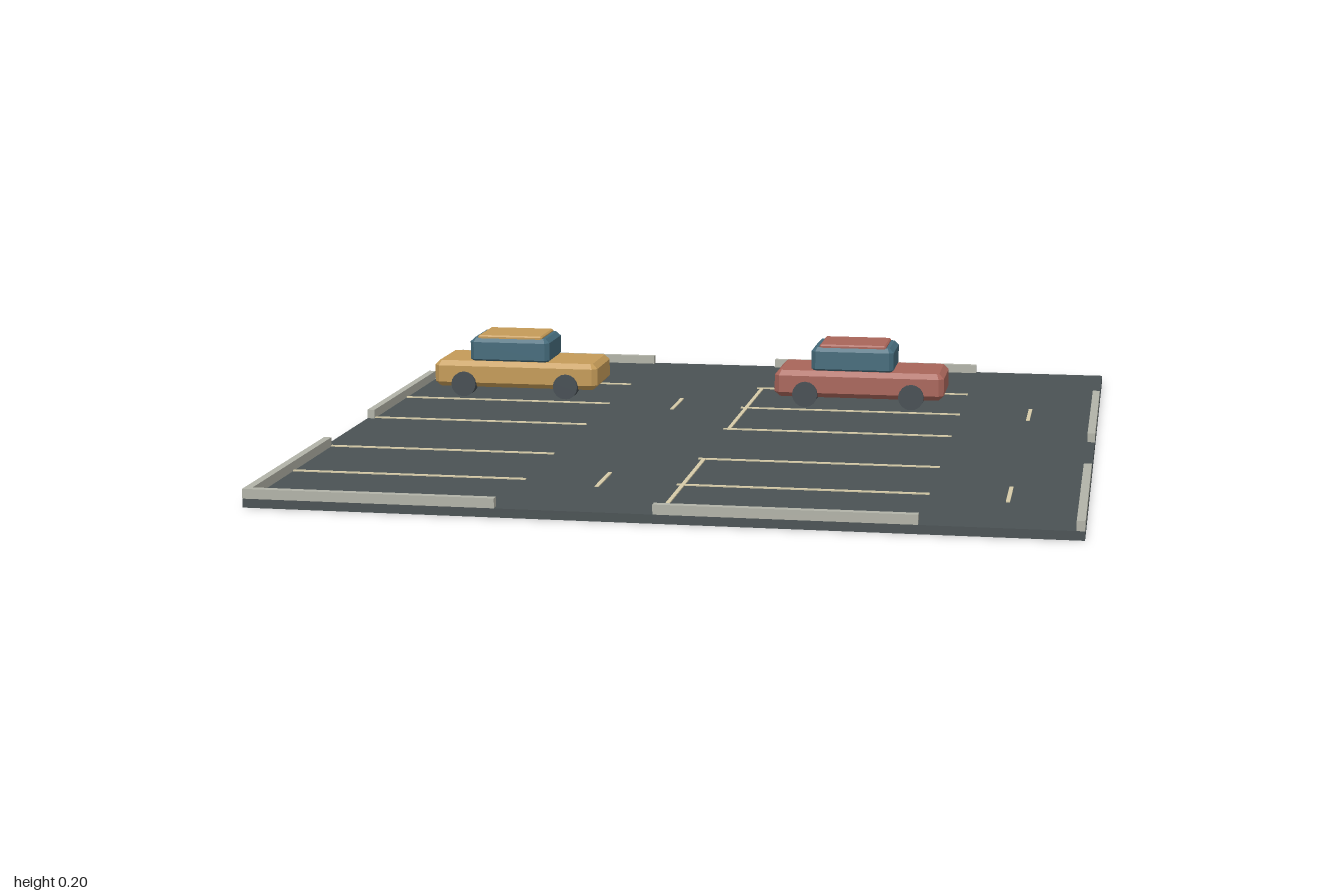
import * as THREE from 'three';

const mat = (name, color) => {
  const m = new THREE.MeshStandardMaterial({ color });
  m.name = name;
  return m;
};

export function createModel() {
  const asphalt = mat('asphalt', 0x4a5254);
  const concrete = mat('concrete', 0xb2b3a8);
  const paint = mat('line paint', 0xd6cba8);
  const yellow = mat('yellow paint', 0xc49b58);
  const red = mat('red paint', 0xa9655a);
  const glass = mat('glass', 0x456b7b);
  const rubber = mat('rubber', 0x454d52);

  const lot = new THREE.Group();
  lot.name = 'parkingLot';
  const TOP = 0.022;

  const add = (parent, name, geometry, material, x, y, z) => {
    const mesh = new THREE.Mesh(geometry, material);
    mesh.name = name;
    mesh.position.set(x, y, z);
    parent.add(mesh);
    return mesh;
  };

  // Box given by its x, y and z ranges
  const slab = (name, material, [x0, x1], [y0, y1], [z0, z1]) =>
    add(lot, name, new THREE.BoxGeometry(x1 - x0, y1 - y0, z1 - z0), material,
      (x0 + x1) / 2, (y0 + y1) / 2, (z0 + z1) / 2);

  // Box with every edge chamfered by b, standing on y = 0
  const chamferBox = (w, h, d, b) => {
    const x = w / 2, z = d / 2;
    const outline = new THREE.Shape([
      [-x + b, -z], [x - b, -z], [x, -z + b], [x, z - b],
      [x - b, z], [-x + b, z], [-x, z - b], [-x, -z + b],
    ].map(([px, pz]) => new THREE.Vector2(px, pz)));
    return new THREE.ExtrudeGeometry(outline, {
      depth: h - 2 * b, bevelThickness: b, bevelSize: b, bevelOffset: -b, bevelSegments: 1,
    }).translate(0, 0, b).rotateX(-Math.PI / 2);
  };

  // Four paved tiles
  for (const x of [-1, 0])
    for (const z of [-1, 0]) slab('pavingTile', asphalt, [x, x + 1], [0, TOP], [z, z + 1]);

  // Kerbs along the outer edges
  const kerbY = [TOP, 0.046];
  for (const x of [-1, 0]) {
    slab('backKerb', concrete, [x, x + 0.62], kerbY, [-1, -0.982]);
    slab('frontKerb', concrete, [x + (x < 0 ? 0.02 : 0), x + 0.62], kerbY, [0.98, 1]);
  }
  for (const z of [[-0.62, 0], [0.38, 1]]) {
    slab('rightKerb', concrete, [-1, -0.98], kerbY, z);
    slab('leftKerb', concrete, [0.98, 1], kerbY, z);
  }

  // Painted bay lines and lane dashes
  const lineY = [TOP, TOP + 0.003];
  for (const x of [-1, 0]) {
    for (const z of [-0.62, -0.315, -0.01, 0.38, 0.685])
      slab('bayLine', paint, [x + (x < 0 ? 0.02 : 0), x + 0.62], lineY, [z - 0.005, z + 0.005]);
    for (const z of [-0.42, 0.58])
      slab('laneDash', paint, [x + 0.806, x + 0.816], lineY, [z, z + 0.16]);
  }
  for (const z of [[-0.615, -0.015], [0.385, 0.98]])
    slab('bayEndLine', paint, [0.01, 0.02], lineY, z);

  // Parked cars
  const bodyGeo = chamferBox(0.482, 0.076, 0.2, 0.014);
  const cabinGeo = chamferBox(0.234, 0.074, 0.172, 0.012);
  const roofGeo = chamferBox(0.19, 0.014, 0.152, 0.004);
  const wheelGeo = new THREE.CylinderGeometry(0.036, 0.036, 0.034, 16).rotateX(Math.PI / 2);
  const car = (name, material, x, z) => {
    const g = new THREE.Group();
    g.name = name;
    g.position.set(x, 0, z);
    add(g, 'body', bodyGeo, material, 0, 0.047, 0);
    add(g, 'cabin', cabinGeo, glass, -0.02, 0.116, 0);
    add(g, 'roof', roofGeo, material, -0.02, 0.183, 0);
    for (const wx of [-0.152, 0.15])
      for (const side of [-1, 1]) add(g, 'wheel', wheelGeo, rubber, wx, TOP + 0.035, side * 0.092);
    lot.add(g);
  };
  car('yellowCar', yellow, -0.672, -0.472);
  car('redCar', red, 0.327, -0.472);

  return lot;
}
